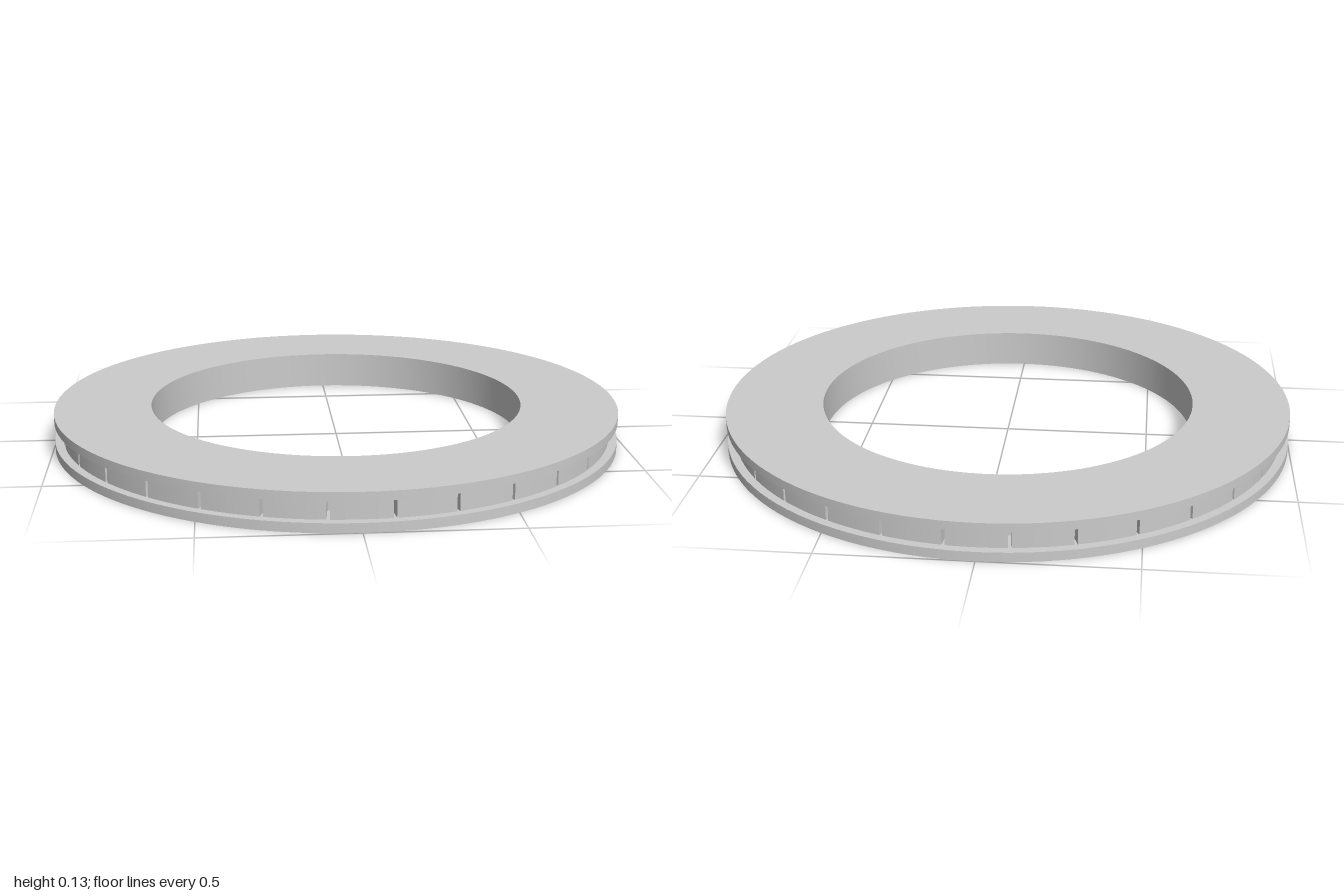
import * as THREE from 'three';
import { toCreasedNormals } from 'three/addons/utils/BufferGeometryUtils.js';

const OUTER = 1, BORE = 0.66, CORE = 0.89, BLOCK = 0.97;
const HEIGHT = 0.13, GROOVE_LOW = 0.032, GROOVE_HIGH = 0.1;
const BLOCKS = 30, GAP = 0.01;

export function createModel() {
  const group = new THREE.Group();
  const material = new THREE.MeshStandardMaterial({ color: 0xcccccc });

  // Two flat rims joined by a core, with a groove around the outside
  const profile = [
    [BORE, 0], [OUTER, 0], [OUTER, GROOVE_LOW], [CORE, GROOVE_LOW],
    [CORE, GROOVE_HIGH], [OUTER, GROOVE_HIGH], [OUTER, HEIGHT], [BORE, HEIGHT], [BORE, 0],
  ].map(([r, y]) => new THREE.Vector2(r, y));
  const ring = new THREE.Mesh(toCreasedNormals(new THREE.LatheGeometry(profile, 120), 0.6), material);
  ring.name = 'groovedRing';
  group.add(ring);

  // One curved spacer block, centred on +x, with parallel-sided gaps to its neighbours
  const halfAngle = (r) => Math.PI / BLOCKS - GAP / 2 / r;
  const outerHalf = halfAngle(BLOCK), innerHalf = halfAngle(CORE);
  const shape = new THREE.Shape();
  shape.absarc(0, 0, BLOCK, -outerHalf, outerHalf, false);
  shape.absarc(0, 0, CORE - 0.005, innerHalf, -innerHalf, true);
  shape.closePath();
  const extruded = new THREE.ExtrudeGeometry(shape, {
    depth: GROOVE_HIGH - GROOVE_LOW, bevelEnabled: false, curveSegments: 6,
  });
  extruded.rotateX(-Math.PI / 2).translate(0, GROOVE_LOW, 0);
  const blockGeometry = toCreasedNormals(extruded, 0.6);

  // Blocks repeated around the groove
  const blocks = new THREE.Group();
  blocks.name = 'spacerBlocks';
  for (let i = 0; i < BLOCKS; i++) {
    const block = new THREE.Mesh(blockGeometry, material);
    block.name = 'spacerBlock';
    block.rotation.y = ((i + 0.5) / BLOCKS) * Math.PI * 2;
    blocks.add(block);
  }
  group.add(blocks);
  return group;
}
